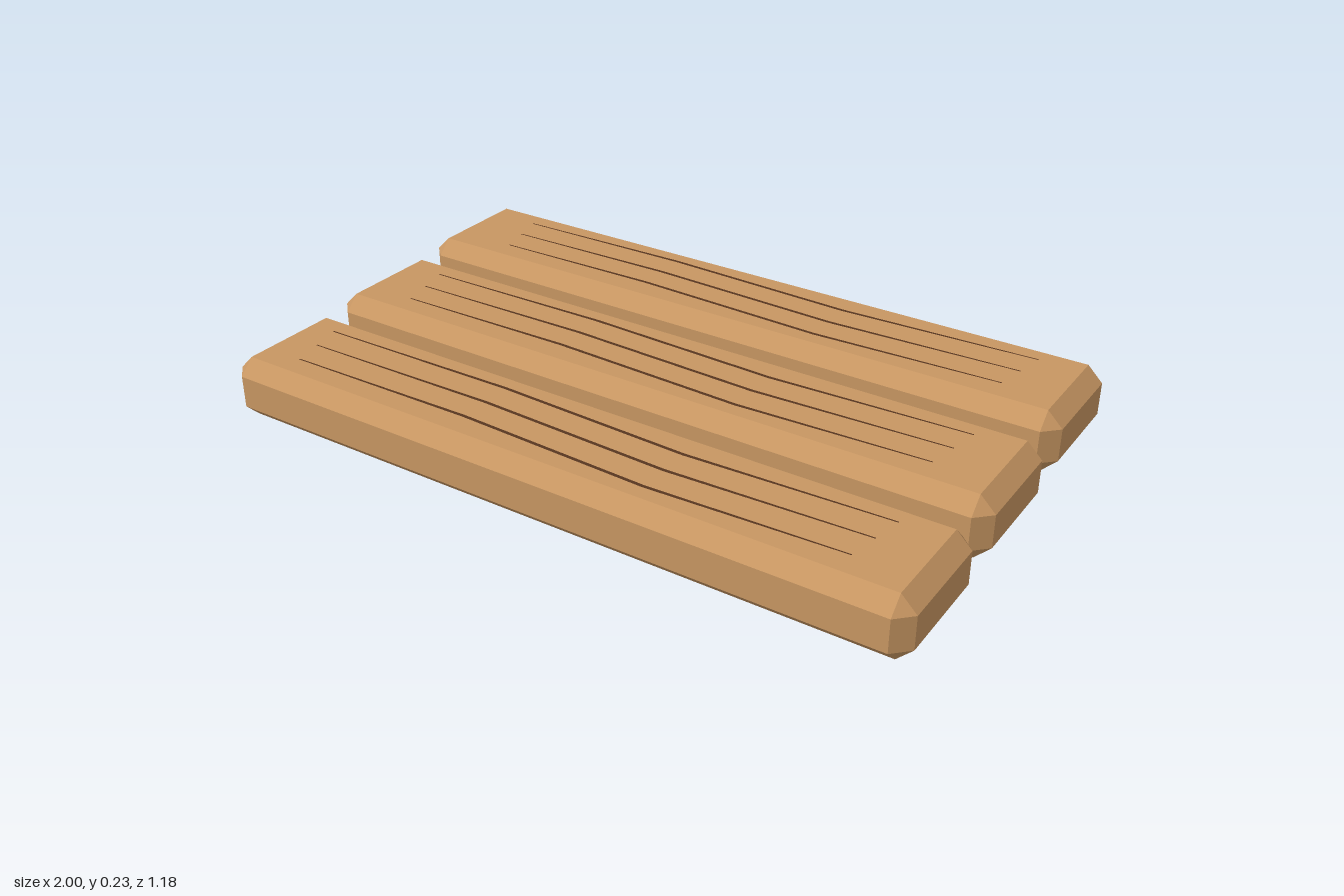
import * as THREE from 'three';
import { ConvexGeometry } from 'three/addons/geometries/ConvexGeometry.js';

const HX = 1, HY = 0.0875, HZ = 0.183, BEVEL = 0.042;

// Box with flat bevels on every edge and a triangle on every corner
function beveledBox(x, y, z, b) {
  const points = [];
  for (const sx of [-1, 1]) for (const sy of [-1, 1]) for (const sz of [-1, 1]) {
    points.push(
      new THREE.Vector3(sx * x, sy * (y - b), sz * (z - b)),
      new THREE.Vector3(sx * (x - b), sy * y, sz * (z - b)),
      new THREE.Vector3(sx * (x - b), sy * (y - b), sz * z));
  }
  return new ConvexGeometry(points);
}

// Flat, wavy strip facing up that narrows at both ends
function grainStrip(startX, endX) {
  // x, z, half width
  const path = [[startX, -0.004, 0.002], [-0.28, -0.011, 0.005], [0.28, 0.012, 0.005], [endX, -0.009, 0.002]];
  const positions = [], index = [];
  path.forEach(([x, z, w], i) => {
    positions.push(x, 0, z - w, x, 0, z + w);
    const k = i * 2;
    if (i) index.push(k - 2, k - 1, k + 1, k - 2, k + 1, k);
  });
  const geometry = new THREE.BufferGeometry();
  geometry.setAttribute('position', new THREE.Float32BufferAttribute(positions, 3));
  geometry.setIndex(index);
  geometry.computeVertexNormals();
  return geometry;
}

export function createModel() {
  const wood = new THREE.MeshStandardMaterial({ color: 0xc79662 });
  wood.name = 'wood';
  const darkGrain = new THREE.MeshStandardMaterial({ color: 0x573620, side: THREE.DoubleSide });
  darkGrain.name = 'dark grain';

  const model = new THREE.Group();
  model.name = 'plankSteps';
  const plankGeometry = beveledBox(HX, HY, HZ, BEVEL);

  // Three planks, each a little higher towards the back
  ['front', 'middle', 'back'].forEach((place, i) => {
    const plank = new THREE.Group();
    plank.name = place + 'Plank';
    plank.position.set(0, HY + i * 0.025, (1 - i) * 0.408);

    const board = new THREE.Mesh(plankGeometry, wood);
    board.name = place + 'Board';
    plank.add(board);

    // Three grain lines on the top face
    for (let j = 0; j < 3; j++) {
      const grain = new THREE.Mesh(grainStrip(-0.88 + i * 0.035 + j * 0.02, 0.84 - j * 0.015), darkGrain);
      grain.name = place + 'Grain' + (j + 1);
      grain.position.set(0, HY + 0.0015, (j - 1) * 0.085);
      plank.add(grain);
    }
    model.add(plank);
  });
  return model;
}
